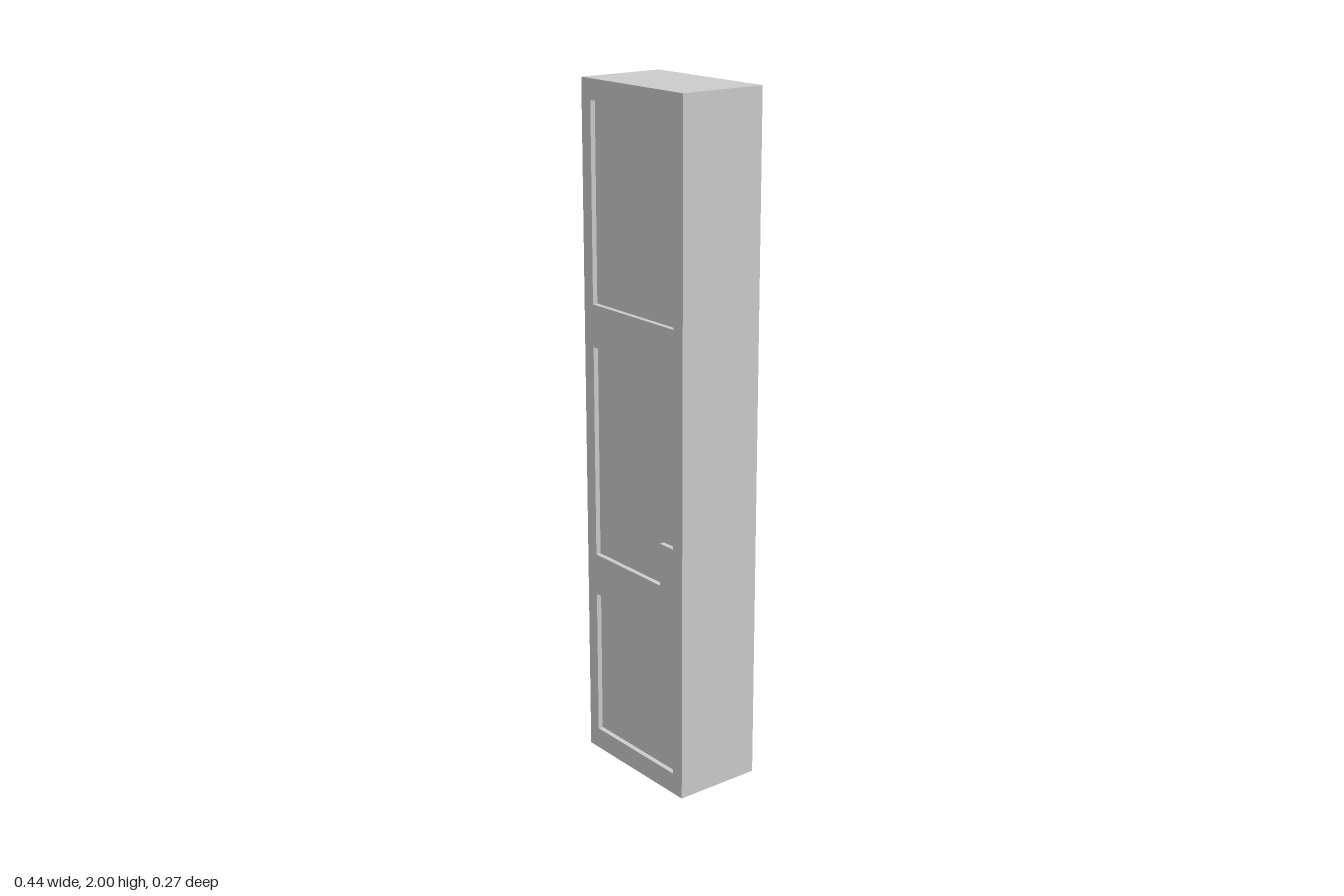
import * as THREE from 'three';

const HALF_W = 0.22, HEIGHT = 2, DEPTH = 0.266, RECESS = 0.015;
const PX = 0.18, NOTCH_X = 0.12;

// Panel outlines, counter-clockwise; the lower two are notched beside the handle
const panels = {
  topPanel: [[-PX, 1.376], [PX, 1.376], [PX, 1.942], [-PX, 1.942]],
  middlePanel: [[-PX, 0.626], [NOTCH_X, 0.626], [NOTCH_X, 0.752], [PX, 0.752], [PX, 1.252], [-PX, 1.252]],
  bottomPanel: [[-PX, 0.063], [PX, 0.063], [PX, 0.377], [NOTCH_X, 0.377], [NOTCH_X, 0.502], [-PX, 0.502]],
};

const toPoints = (pts) => pts.map(([x, y]) => new THREE.Vector2(x, y));

// Extrude a shape centred on z = 0
function slab(shape, depth, name, material) {
  const geometry = new THREE.ExtrudeGeometry(shape, { depth, bevelEnabled: false });
  geometry.translate(0, 0, -depth / 2);
  const mesh = new THREE.Mesh(geometry, material);
  mesh.name = name;
  return mesh;
}

export function createModel() {
  const group = new THREE.Group();
  group.name = 'door';
  const material = new THREE.MeshStandardMaterial({ color: 0xcccccc });

  // Door frame with an opening for each panel
  const frame = new THREE.Shape(toPoints([[-HALF_W, 0], [HALF_W, 0], [HALF_W, HEIGHT], [-HALF_W, HEIGHT]]));
  for (const pts of Object.values(panels)) frame.holes.push(new THREE.Path(toPoints(pts)));
  group.add(slab(frame, DEPTH, 'doorFrame', material));

  // Panels sunk slightly on both faces
  for (const [name, pts] of Object.entries(panels)) {
    group.add(slab(new THREE.Shape(toPoints(pts)), DEPTH - 2 * RECESS, name, material));
  }
  return group;
}
